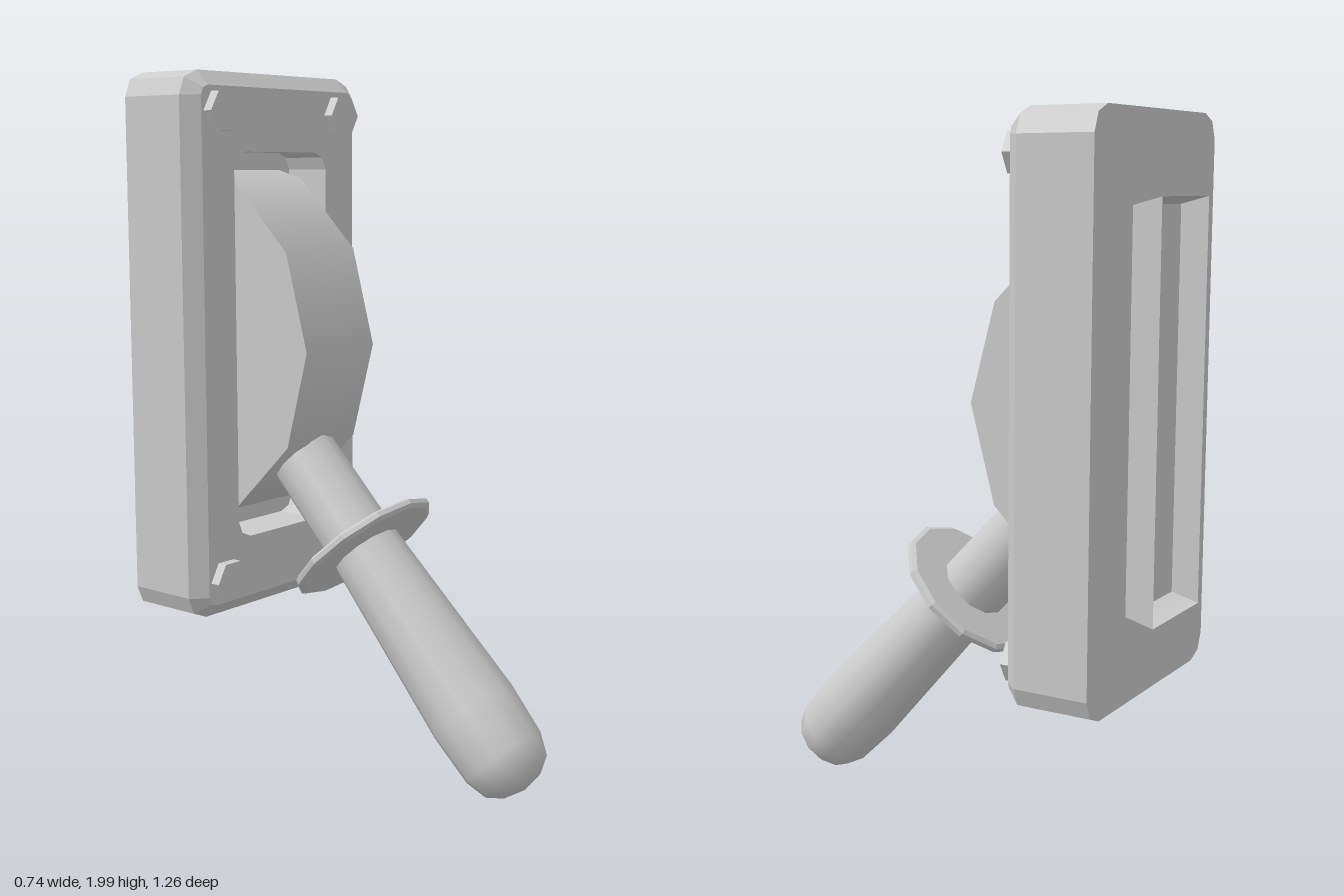
import * as THREE from 'three';

const material = (options = {}) => new THREE.MeshStandardMaterial({ color: 0xcccccc, ...options });

function addMesh(parent, name, geometry, mat) {
  const mesh = new THREE.Mesh(geometry, mat);
  mesh.name = name;
  parent.add(mesh);
  return mesh;
}

// Rounded rectangle outline, counter-clockwise from the front, two facets per corner
function roundedRect(halfW, halfH, radius, z) {
  const points = [];
  [[1, 1], [-1, 1], [-1, -1], [1, -1]].forEach(([sx, sy], corner) => {
    for (let k = 0; k <= 2; k++) {
      const a = (corner + k / 2) * Math.PI / 2;
      points.push([
        sx * (halfW - radius) + radius * Math.cos(a),
        sy * (halfH - radius) + radius * Math.sin(a),
        z,
      ]);
    }
  });
  return points;
}

// Skin a stack of equal-length outlines and close both ends
function loft(loops) {
  const n = loops[0].length;
  const index = [];
  for (let k = 0; k < loops.length - 1; k++) {
    for (let i = 0; i < n; i++) {
      const a = k * n + i, b = k * n + (i + 1) % n;
      index.push(a, b, b + n, a, b + n, a + n);
    }
  }
  const last = (loops.length - 1) * n;
  for (let i = 1; i < n - 1; i++) {
    index.push(0, i + 1, i);
    index.push(last, last + i, last + i + 1);
  }
  const geometry = new THREE.BufferGeometry();
  geometry.setAttribute('position', new THREE.Float32BufferAttribute(loops.flat(2), 3));
  geometry.setIndex(index);
  const flat = geometry.toNonIndexed();
  flat.computeVertexNormals();
  return flat;
}

const lathe = (profile, sides) =>
  new THREE.LatheGeometry(profile.map(([r, y]) => new THREE.Vector2(r, y)), sides);

export function createModel() {
  const model = new THREE.Group();
  model.name = 'wallLever';
  const flat = material({ flatShading: true });

  // Wall plate: bevelled front edge and a recessed slot
  const plate = addMesh(model, 'wallPlate', loft([
    roundedRect(0.37, 0.782, 0.07, -0.55),
    roundedRect(0.37, 0.782, 0.07, -0.335),
    roundedRect(0.327, 0.74, 0.027, -0.293),
    roundedRect(0.2, 0.56, 0.05, -0.293),
    roundedRect(0.2, 0.56, 0.05, -0.44),
  ]), flat);
  plate.position.y = 1.218;

  // Half drum running through the plate, open at the back
  const drumGeometry = new THREE.CylinderGeometry(0.56, 0.56, 0.3, 6, 1, false, -Math.PI / 2, Math.PI);
  drumGeometry.rotateZ(Math.PI / 2);
  const drum = addMesh(model, 'drum', drumGeometry, material({ side: THREE.DoubleSide }));
  drum.position.set(0, 1.218, -0.63);

  // Hexagonal bolt heads in the four corners
  const boltGeometry = new THREE.CylinderGeometry(0.062, 0.062, 0.045, 6);
  boltGeometry.rotateY(Math.PI / 6).rotateX(Math.PI / 2);
  for (const x of [-0.257, 0.257]) {
    for (const y of [0.548, 1.888]) {
      addMesh(model, 'bolt', boltGeometry, flat).position.set(x, y, -0.286);
    }
  }

  // Lever: centred on the guard, tilted forward and down
  const lever = new THREE.Group();
  lever.name = 'lever';
  lever.position.set(0, 0.645, 0.016);
  lever.rotation.x = -0.759;
  model.add(lever);

  addMesh(lever, 'handle', lathe([
    [0, -0.825], [0.062, -0.812], [0.104, -0.782], [0.126, -0.72],
    [0.133, -0.57], [0.105, 0], [0.102, 0.4],
  ], 12), material());

  addMesh(lever, 'guard', lathe([
    [0, -0.015], [0.217, -0.015], [0.23, -0.007],
    [0.23, 0.007], [0.217, 0.015], [0, 0.015],
  ], 12), flat);

  return model;
}
